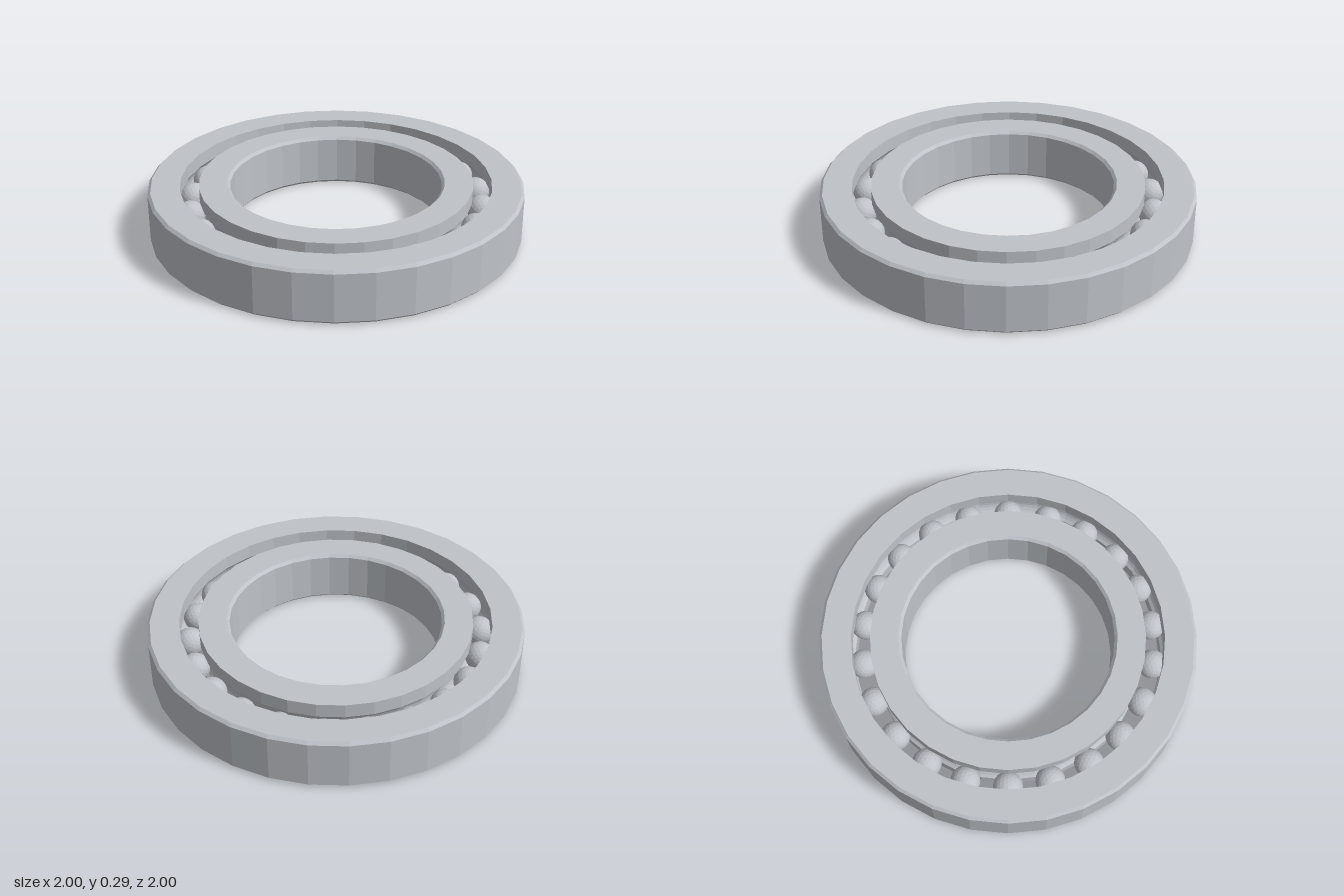
import * as THREE from 'three';

const H = 0.286, MID = H / 2, C = 0.015;      // ring height, middle, chamfer
const BORE = 0.565, INNER = 0.73, OUTER = 0.83, RIM = 1;
const PITCH = 0.78, BALL = 0.078, GROOVE = 0.083, BALLS = 22;

// Raceway arc in (radius, y); side -1 cuts the inner ring, +1 the outer ring
function raceway(side) {
  const a0 = Math.acos((OUTER - PITCH) / GROOVE), pts = [];
  for (let i = 0; i <= 8; i++) {
    const a = side * a0 * (1 - i / 4);
    pts.push([PITCH + side * GROOVE * Math.cos(a), MID + GROOVE * Math.sin(a)]);
  }
  return pts;
}

function ring(name, profile, material) {
  const pts = [...profile, profile[0]].map(([r, y]) => new THREE.Vector2(r, y));
  const mesh = new THREE.Mesh(new THREE.LatheGeometry(pts, 32), material);
  mesh.name = name;
  return mesh;
}

export function createModel() {
  const steel = new THREE.MeshStandardMaterial({ color: 0xbfc3c9 });
  steel.name = 'steel';
  steel.flatShading = true;
  const model = new THREE.Group();
  model.name = 'ballBearing';

  // Outer race: chamfered rim, grooved inside
  model.add(ring('outerRace', [
    [OUTER, 0], [RIM - C, 0], [RIM, C], [RIM, H - C], [RIM - C, H], [OUTER, H],
    ...raceway(1),
  ], steel));

  // Inner race: grooved outside, chamfered bore
  model.add(ring('innerRace', [
    [INNER, 0], ...raceway(-1), [INNER, H],
    [BORE + C, H], [BORE, H - C], [BORE, C], [BORE + C, 0],
  ], steel));

  // Balls evenly spaced between the races
  const balls = new THREE.Group();
  balls.name = 'balls';
  const ballGeometry = new THREE.IcosahedronGeometry(BALL, 3);
  for (let i = 0; i < BALLS; i++) {
    const a = (i / BALLS) * Math.PI * 2;
    const ball = new THREE.Mesh(ballGeometry, steel);
    ball.name = 'ball';
    ball.position.set(PITCH * Math.cos(a), MID, PITCH * Math.sin(a));
    ball.rotation.y = -a;
    balls.add(ball);
  }
  model.add(balls);
  return model;
}
